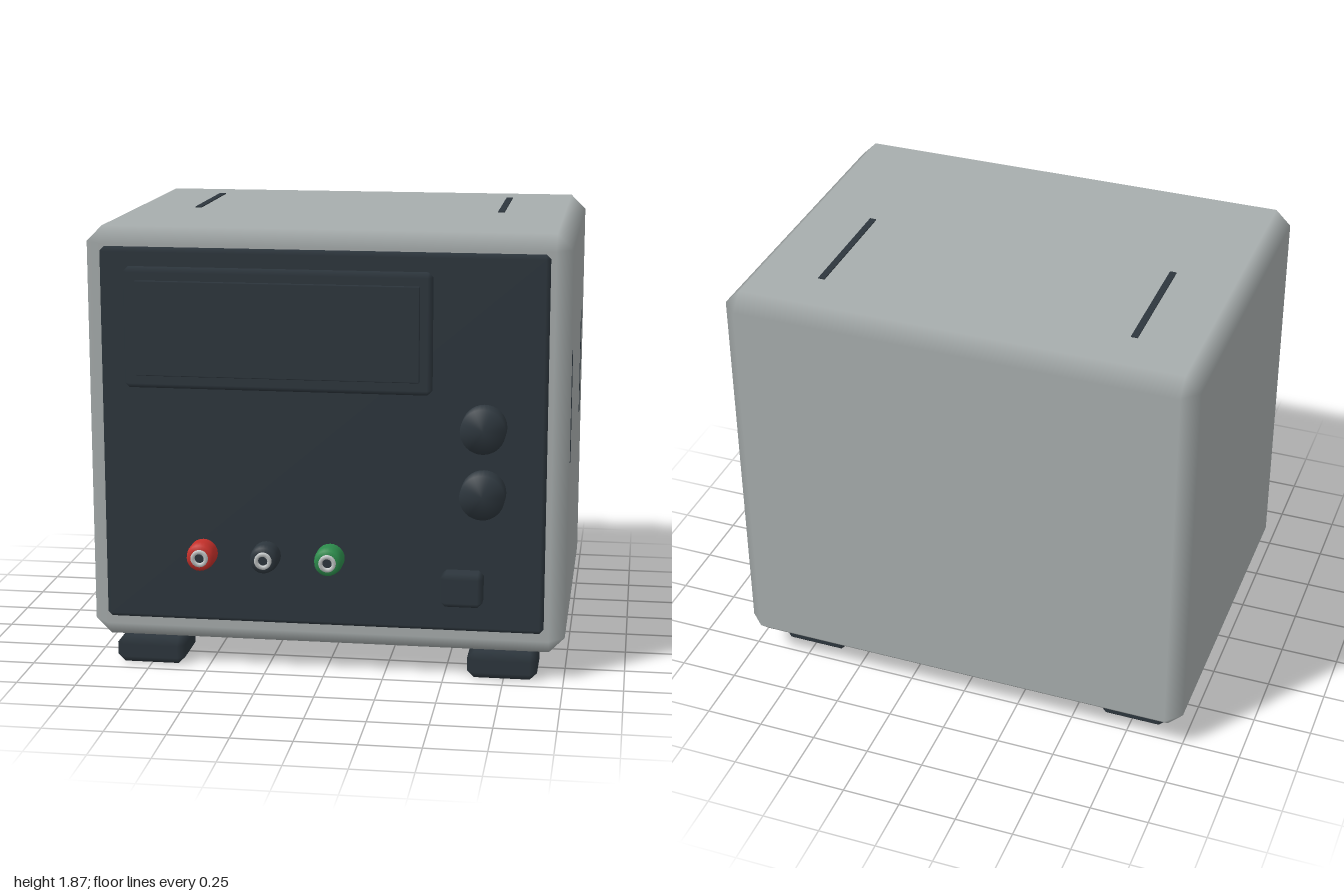
import * as THREE from 'three';

const mat = (name, color) => {
  const m = new THREE.MeshStandardMaterial({ color });
  m.name = name;
  return m;
};

// Box with 45 degree chamfers; every corner point keeps the normal of its own face, so edges shade softly.
function chamferBox(w, h, d, b) {
  const half = [w / 2, h / 2, d / 2];
  const pos = [], nor = [], idx = [];
  const id = (axis, s) => axis * 8 + (s[0] > 0 ? 4 : 0) + (s[1] > 0 ? 2 : 0) + (s[2] > 0 ? 1 : 0);
  for (let axis = 0; axis < 3; axis++)
    for (let c = 0; c < 8; c++) {
      const s = [c & 4 ? 1 : -1, c & 2 ? 1 : -1, c & 1 ? 1 : -1];
      s.forEach((v, k) => {
        pos.push(v * (k === axis ? half[k] : half[k] - b));
        nor.push(k === axis ? v : 0);
      });
    }
  const P = (i) => new THREE.Vector3().fromArray(pos, i * 3);
  // Adds a triangle, turned to face outwards.
  const tri = (a, c, e) => {
    const n = P(c).sub(P(a)).cross(P(e).sub(P(a)));
    if (n.dot(P(a).add(P(c)).add(P(e))) > 0) idx.push(a, c, e);
    else idx.push(a, e, c);
  };
  const quad = (a, c, e, f) => { tri(a, c, e); tri(a, e, f); };
  const sign = (i, vi, j, vj, k, vk) => {
    const s = [];
    s[i] = vi; s[j] = vj; s[k] = vk;
    return s;
  };
  for (let i = 0; i < 3; i++) {
    const j = (i + 1) % 3, k = (i + 2) % 3;
    for (const u of [-1, 1]) {
      // flat face
      quad(...[[-1, -1], [1, -1], [1, 1], [-1, 1]].map(([p, q]) => id(i, sign(i, u, j, p, k, q))));
      // edge strips between faces i and j
      for (const v of [-1, 1]) {
        const lo = sign(i, u, j, v, k, -1), hi = sign(i, u, j, v, k, 1);
        quad(id(i, lo), id(i, hi), id(j, hi), id(j, lo));
      }
    }
  }
  // corner triangles
  for (let c = 0; c < 8; c++) tri(c, 8 + c, 16 + c);
  const g = new THREE.BufferGeometry();
  g.setAttribute('position', new THREE.Float32BufferAttribute(pos, 3));
  g.setAttribute('normal', new THREE.Float32BufferAttribute(nor, 3));
  g.setIndex(idx);
  return g;
}

// Turned part whose axis points to the front; profile is [radius, z] from back to front.
function turned(profile, segments = 32) {
  const g = new THREE.LatheGeometry(profile.map(([r, z]) => new THREE.Vector2(r, z)), segments);
  return g.rotateX(Math.PI / 2);
}

export function createModel() {
  const group = new THREE.Group();
  const grey = mat('caseGrey', 0xa7adad);
  const dark = mat('charcoal', 0x2d363d);
  const red = mat('terminalRed', 0xc4302a);
  const green = mat('terminalGreen', 0x2c8a4b);
  const metal = mat('contactMetal', 0xc4c8c8);

  const add = (name, geometry, material, x, y, z, parent = group) => {
    const m = new THREE.Mesh(geometry, material);
    m.name = name;
    m.position.set(x, y, z);
    parent.add(m);
    return m;
  };
  // Chamfered box given by its limits.
  const block = (name, material, x0, x1, y0, y1, z0, z1, b) =>
    add(name, chamferBox(x1 - x0, y1 - y0, z1 - z0, b), material, (x0 + x1) / 2, (y0 + y1) / 2, (z0 + z1) / 2);

  // Case and front
  block('case', grey, -1, 1, 0.113, 1.867, -0.834, 0.697, 0.065);
  block('frontPanel', dark, -0.925, 0.915, 0.218, 1.792, 0.685, 0.733, 0.018);
  block('displayBezel', dark, -0.82, 0.45, 1.217, 1.717, 0.72, 0.775, 0.02);
  block('displayScreen', dark, -0.767, 0.4, 1.272, 1.664, 0.76, 0.788, 0.004);
  block('powerSwitch', dark, 0.495, 0.668, 0.348, 0.487, 0.72, 0.828, 0.02);

  // Feet
  for (const x of [-0.753, 0.743])
    for (const z of [-0.567, 0.562])
      add('foot', chamferBox(0.293, 0.113, 0.265, 0.03), dark, x, 0.0565, z);

  // Vent slots on the top and the right wall
  for (const x of [-0.67, 0.662])
    add('topVent', new THREE.BoxGeometry(0.028, 0.008, 0.535), dark, x, 1.867, -0.302);
  for (const z of [-0.5, 0.505])
    add('sideVent', new THREE.BoxGeometry(0.008, 0.47, 0.033), dark, 0.998, 1.136, z);

  // Control knobs
  const knob = turned([[0.092, 0], [0.092, 0.105], [0, 0.105]]);
  for (const y of [1.09, 0.818]) add('controlKnob', knob, dark, 0.662, y, 0.73);

  // Binding posts with hollow metal contacts
  const collar = turned([[0.06, 0], [0.06, 0.055], [0.054, 0.09], [0.03, 0.09]], 24);
  const ring = turned([[0.036, 0.08], [0.036, 0.1], [0.02, 0.1], [0.02, 0.085]], 24);
  const core = new THREE.CircleGeometry(0.021, 24);
  [['red', red, -0.505], ['black', dark, -0.238], ['green', green, 0.03]].forEach(([name, material, x]) => {
    const post = new THREE.Group();
    post.name = name + 'Terminal';
    post.position.set(x, 0.515, 0.73);
    add('collar', collar, material, 0, 0, 0, post);
    add('contactRing', ring, metal, 0, 0, 0, post);
    add('socketHole', core, dark, 0, 0, 0.09, post);
    group.add(post);
  });

  return group;
}
